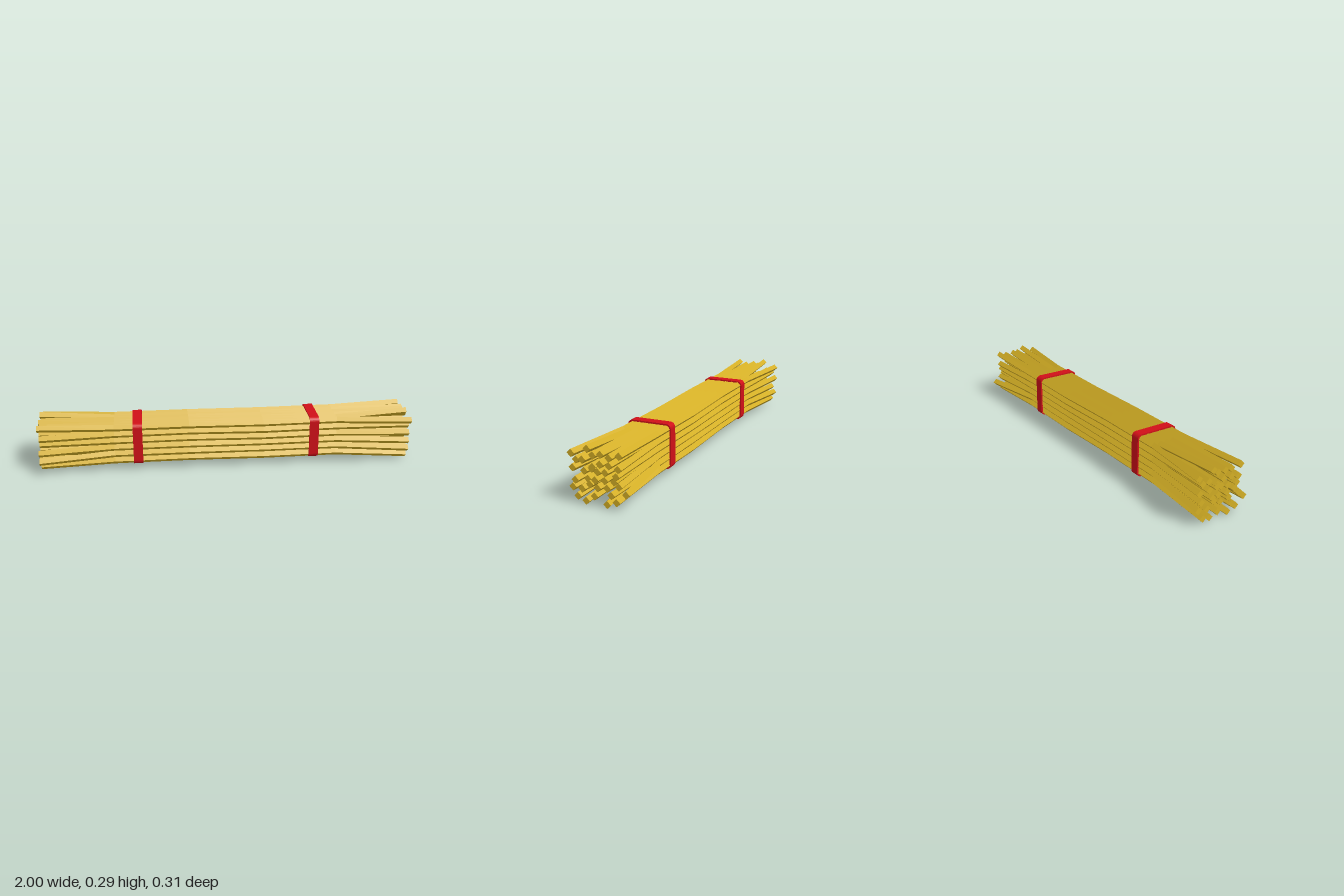
import * as THREE from 'three';

const PITCH = 0.0372, R = 0.0195, MID_Y = 0.147;

// Splayed stick ends as [z, y] in hundredths, one row per layer from the top
const ENDS = [
  [[13.8, 24], [6, 26.7], [2.6, 24.4], [-0.8, 24.9], [-5.6, 24.2], [-10.3, 25.4]],
  [[11.7, 21], [8.3, 21.5], [3.1, 18.8], [-0.8, 20.4], [-5.3, 20.4], [-9.9, 19.2]],
  [[13.7, 16.9], [7.2, 16.5], [3.7, 17.8], [0.3, 16.9], [-3, 16.7], [-9.2, 16]],
  [[11.9, 11.5], [5.8, 12.6], [1.7, 12.8], [-2.8, 12.9], [-8.1, 13.3], [-10.1, 11]],
  [[13.5, 7.8], [8.7, 7.6], [4.6, 10.3], [0.8, 9], [-4.4, 9.7], [-13.7, 7.8]],
  [[11.3, 3.5], [6.5, 2.2], [2.6, 4.6], [-4.4, 2], [-6, 6.2], [-9.2, 3.7]],
];

// Square rod with diamond section, swept through points [x, y, z]
function rod(points) {
  const ring = points.map(([x, y, z]) =>
    [[R, 0], [0, R], [-R, 0], [0, -R]].map(([dy, dz]) => [x, y + dy, z + dz]));
  const pos = [];
  const quad = (a, b, c, d) => pos.push(...a, ...b, ...c, ...a, ...c, ...d);
  for (let i = 0; i < ring.length - 1; i++) {
    for (let k = 0; k < 4; k++) {
      const n = (k + 1) % 4;
      quad(ring[i][k], ring[i][n], ring[i + 1][n], ring[i + 1][k]);
    }
  }
  const a = ring[0], b = ring[ring.length - 1];
  quad(a[3], a[2], a[1], a[0]);
  quad(b[0], b[1], b[2], b[3]);
  const g = new THREE.BufferGeometry();
  g.setAttribute('position', new THREE.Float32BufferAttribute(pos, 3));
  g.computeVertexNormals();
  return g;
}

// Rounded rectangle outline
function roundedRect(target, w, h, r) {
  target.moveTo(w - r, -h);
  target.absarc(w - r, -h + r, r, -Math.PI / 2, 0);
  target.absarc(w - r, h - r, r, 0, Math.PI / 2);
  target.absarc(-w + r, h - r, r, Math.PI / 2, Math.PI);
  target.absarc(-w + r, -h + r, r, Math.PI, Math.PI * 1.5);
  target.closePath();
  return target;
}

export function createModel() {
  const model = new THREE.Group();
  const straw = new THREE.MeshStandardMaterial({ color: 0xd4af25, flatShading: true });
  const red = new THREE.MeshStandardMaterial({ color: 0xd01018 });

  // Sticks: a tight grid in the middle, fanning out beyond the bands
  const sticks = new THREE.Group();
  sticks.name = 'sticks';
  for (let r = 0; r < 6; r++) {
    for (let c = 0; c < 6; c++) {
      const y = MID_Y + (2.5 - r) * PITCH, z = (2.5 - c) * PITCH;
      const right = ENDS[r][c], left = ENDS[r][5 - c];
      const wave = 0.003 * Math.sin(r * 5 + c * 3);
      const tip = 0.995 + 0.005 * Math.cos(r * 2 + c * 3);
      const stick = new THREE.Mesh(rod([
        [-tip, left[1] / 100, -left[0] / 100],
        [-0.6, y, z],
        [-0.2, y + 0.002, z + wave],
        [0.2, y - 0.003, z - wave],
        [0.6, y, z],
        [tip, right[1] / 100, right[0] / 100],
      ]), straw);
      stick.name = 'stick';
      sticks.add(stick);
    }
  }
  model.add(sticks);

  // Two bands holding the bundle together
  const outline = roundedRect(new THREE.Shape(), 0.118, 0.116, 0.025);
  outline.holes.push(roundedRect(new THREE.Path(), 0.11, 0.108, 0.018));
  const bandGeometry = new THREE.ExtrudeGeometry(outline, { depth: 0.05, bevelEnabled: false, curveSegments: 6 });
  bandGeometry.translate(0, 0, -0.025).rotateY(Math.PI / 2);
  for (const side of [-1, 1]) {
    const band = new THREE.Mesh(bandGeometry, red);
    band.name = side > 0 ? 'leftBand' : 'rightBand';
    band.position.set(side * 0.475, 0.149, 0);
    model.add(band);
  }
  return model;
}
